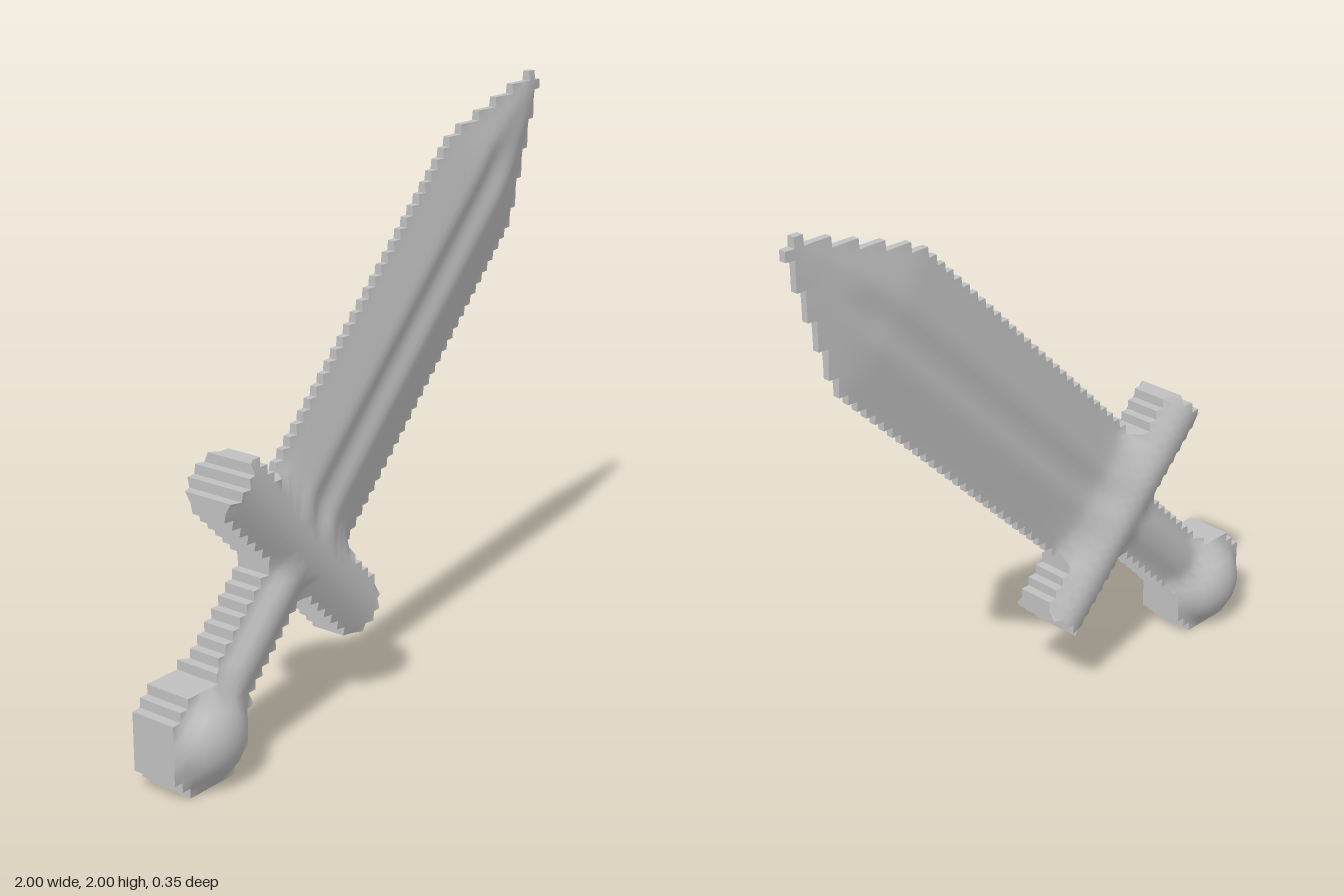
import * as THREE from 'three';

const N = 60, S = 2 / N, M = 0.025; // grid cells, cell size, margin for cell corners
const lerp = THREE.MathUtils.lerp, clamp = THREE.MathUtils.clamp;
const round = (r, d, floor) => Math.max(floor, Math.sqrt(Math.max(0, r * r - d * d)));

// u runs along the sword (towards the tip), v across it
const SHOULDER = 0.92, TIP = 1.412, POMMEL = -1.178, GUARD = -0.522;
const bladeHalf = (u) => 0.25 * clamp((TIP - u) / (TIP - SHOULDER), 0.12, 1);

// Each part: outline test (m widens it) and half depth at a point
const parts = [
  {
    name: 'pommel',
    inside: (u, v, m) => Math.hypot(u - POMMEL, v) < 0.181 + m,
    depth: (u, v) => round(0.176, Math.hypot(u - POMMEL, v), 0.085),
  },
  {
    name: 'crossguard',
    inside: (u, v, m) => Math.abs(u - GUARD) < 0.114 + m && Math.abs(v) < 0.447 + m,
    depth: (u) => round(0.116, u - GUARD, 0.065),
  },
  {
    name: 'grip',
    inside: (u, v, m) => u > POMMEL && u < GUARD && Math.abs(v) < 0.097 + m,
    depth: (u, v) => round(0.1, v, 0.06),
  },
  {
    name: 'blade',
    inside: (u, v, m) => u > GUARD && u < 1.378 + m && Math.abs(v) < bladeHalf(u) + m,
    depth: (u, v) => {
      const half = bladeHalf(u), a = Math.abs(v);
      const k = clamp((TIP - u) / (TIP - SHOULDER), 0, 1);
      const ridge = Math.min(0.08, half * 0.4);
      const top = lerp(0.012, 0.05, k);
      // bevel from ridge to cutting edge, with a shallow groove between the ridges
      const bevel = lerp(top, 0.012, clamp((a - ridge) / (half - ridge), 0, 1));
      const fade = clamp((1.12 - u) / 0.15, 0, 1);
      const groove = a < ridge ? 0.014 * fade * (0.5 + 0.5 * Math.cos(Math.PI * a / ridge)) : 0;
      // fillet into the guard
      const fillet = 0.035 * Math.exp(-Math.max(0, u + 0.41) / 0.035) * clamp((half - a) / 0.06, 0, 1);
      return bevel - groove + fillet;
    },
  },
];

const toUV = (x, y) => [(x + y) / Math.SQRT2, (y - x) / Math.SQRT2];

function partAt(i, j) {
  if (i < 0 || j < 0 || i >= N || j >= N) return undefined;
  const [u, v] = toUV((i + 0.5) * S - 1, (j + 0.5) * S - 1);
  return parts.find((p) => p.inside(u, v, 0));
}

function depthAt(i, j) {
  const [u, v] = toUV(i * S - 1, j * S - 1);
  return Math.max(0.01, ...parts.filter((p) => p.inside(u, v, M)).map((p) => p.depth(u, v)));
}

export function createModel() {
  const group = new THREE.Group();
  group.name = 'sword';
  const grey = new THREE.MeshStandardMaterial({ color: 0xc0c0c0 });
  grey.name = 'grey';

  // Vertex grid for the front and back faces
  const positions = [], indices = [], walls = new Map(), faces = new Map();
  for (const z of [1, -1])
    for (let j = 0; j <= N; j++)
      for (let i = 0; i <= N; i++) positions.push(i * S - 1, j * S, z * depthAt(i, j));
  const back = (N + 1) * (N + 1);
  const id = (i, j) => j * (N + 1) + i;
  parts.forEach((p) => { walls.set(p, []); faces.set(p, []); });

  // Cells inside the outline, with walls along the stepped border
  for (let j = 0; j < N; j++) {
    for (let i = 0; i < N; i++) {
      const part = partAt(i, j);
      if (!part) continue;
      const c = [id(i, j), id(i + 1, j), id(i + 1, j + 1), id(i, j + 1)];
      const [p, q, r, s] = c;
      const [P, Q, R, T] = c.map((n) => n + back);
      const quads = [p, q, r, p, r, s, P, R, Q, P, T, R];
      faces.get(part).push(...quads);
      indices.push(...quads);
      [[0, -1], [1, 0], [0, 1], [-1, 0]].forEach(([dx, dy], e) => {
        if (partAt(i + dx, j + dy)) return;
        const a = c[e], b = c[(e + 1) % 4];
        walls.get(part).push(a, a + back, b + back, a, b + back, b);
      });
    }
  }

  // Shared smooth normals, so the parts flow into each other
  const surface = new THREE.BufferGeometry();
  surface.setAttribute('position', new THREE.Float32BufferAttribute(positions, 3));
  surface.setIndex(indices);
  surface.computeVertexNormals();

  for (const part of parts) {
    const holder = new THREE.Group();
    holder.name = part.name;
    const face = surface.clone().setIndex(faces.get(part)).toNonIndexed();
    const rim = surface.clone().setIndex(walls.get(part)).toNonIndexed();
    rim.computeVertexNormals();
    for (const [geometry, label] of [[face, 'Faces'], [rim, 'Rim']]) {
      const mesh = new THREE.Mesh(geometry, grey);
      mesh.name = part.name + label;
      holder.add(mesh);
    }
    group.add(holder);
  }
  return group;
}
